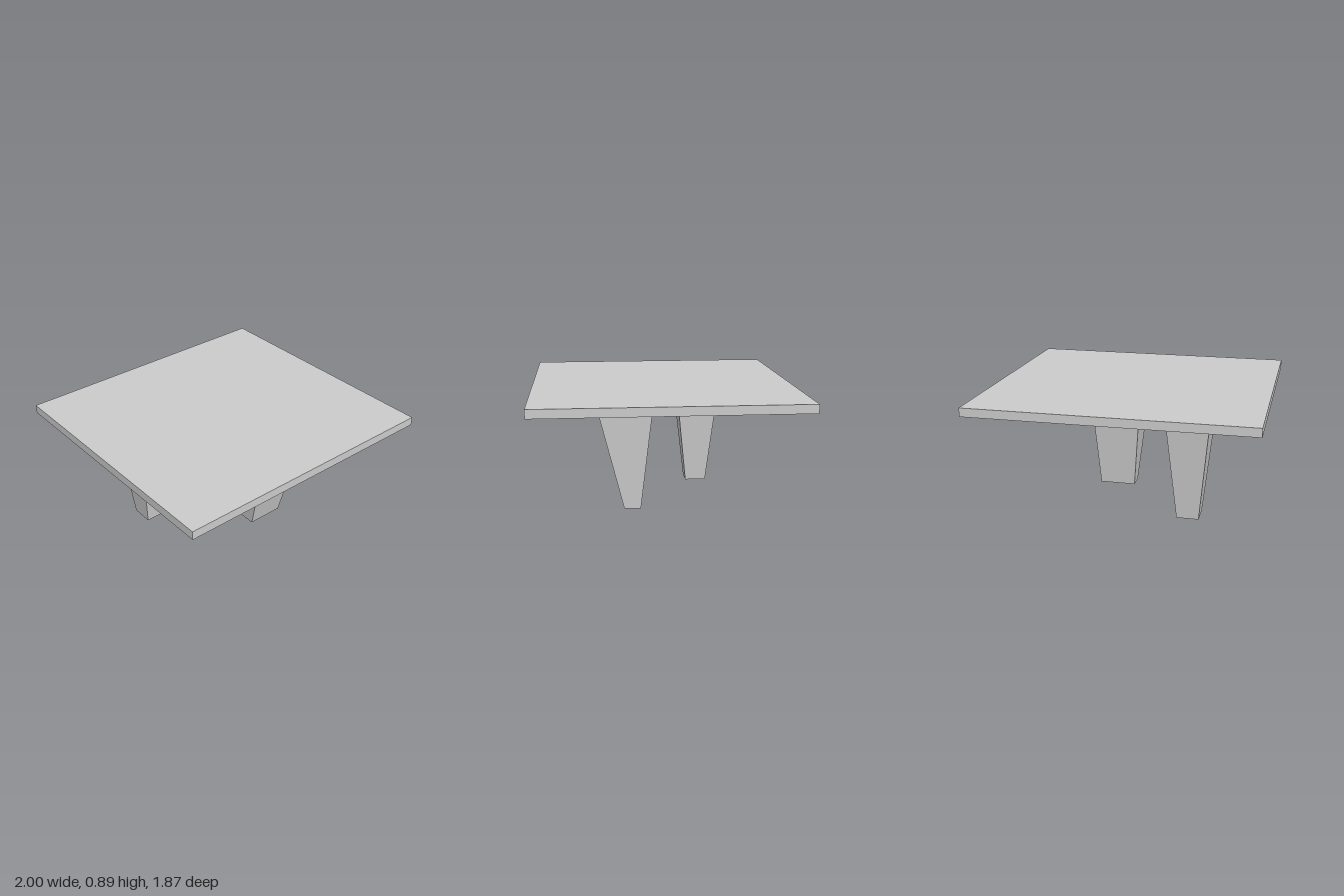
import * as THREE from 'three';

const material = new THREE.MeshStandardMaterial({ color: 0xcccccc, flatShading: true });
const PLATE_BOTTOM = 0.825, PLATE_TOP = 0.887, LEG_TOP = 0.7, HALF_DEPTH = 0.935;

function addMesh(group, name, geometry) {
  const mesh = new THREE.Mesh(geometry, material);
  mesh.name = name;
  group.add(mesh);
}

// Tapered block: top and bottom are [x0, x1, z0, z1]
function taperedLeg(top, bottom) {
  const geometry = new THREE.BoxGeometry(1, 1, 1);
  const p = geometry.attributes.position;
  for (let i = 0; i < p.count; i++) {
    const r = p.getY(i) > 0 ? top : bottom;
    p.setXYZ(i, p.getX(i) > 0 ? r[1] : r[0], p.getY(i) > 0 ? LEG_TOP : 0, p.getZ(i) > 0 ? r[3] : r[2]);
  }
  geometry.computeVertexNormals();
  return geometry;
}

// Sloping underside: a 4 x 4 grid whose inner points drop to the leg tops
function underside() {
  const xs = [-1, -0.61, 0.38, 1], zs = [-HALF_DEPTH, -0.48, 0.465, HALF_DEPTH];
  const inner = (k) => k === 1 || k === 2;
  const point = (i, j) => [
    xs[i],
    inner(i) && inner(j) ? LEG_TOP : PLATE_BOTTOM,
    i === 3 && j === 2 ? 0.31 : zs[j],
  ];
  const positions = [];
  for (let i = 0; i < 3; i++) {
    for (let j = 0; j < 3; j++) {
      const a = point(i, j), b = point(i + 1, j), c = point(i + 1, j + 1), d = point(i, j + 1);
      // Corner cells fold across, between their two edge points
      const tris = i === j ? [a, b, d, b, c, d] : [a, b, c, a, c, d];
      positions.push(...tris.flat());
    }
  }
  const geometry = new THREE.BufferGeometry();
  geometry.setAttribute('position', new THREE.Float32BufferAttribute(positions, 3));
  geometry.computeVertexNormals();
  return geometry;
}

export function createModel() {
  const group = new THREE.Group();
  group.name = 'table';

  // Flat slab
  const slab = new THREE.BoxGeometry(2, PLATE_TOP - PLATE_BOTTOM, HALF_DEPTH * 2);
  slab.translate(0, (PLATE_TOP + PLATE_BOTTOM) / 2, 0);
  addMesh(group, 'tableTop', slab);

  addMesh(group, 'underside', underside());

  // Two legs on opposite corners
  addMesh(group, 'frontLeg', taperedLeg([0, 0.38, 0.09, 0.465], [0.06, 0.33, 0.17, 0.29]));
  addMesh(group, 'backLeg', taperedLeg([-0.61, -0.31, -0.48, -0.165], [-0.54, -0.38, -0.4, -0.24]));

  return group;
}
